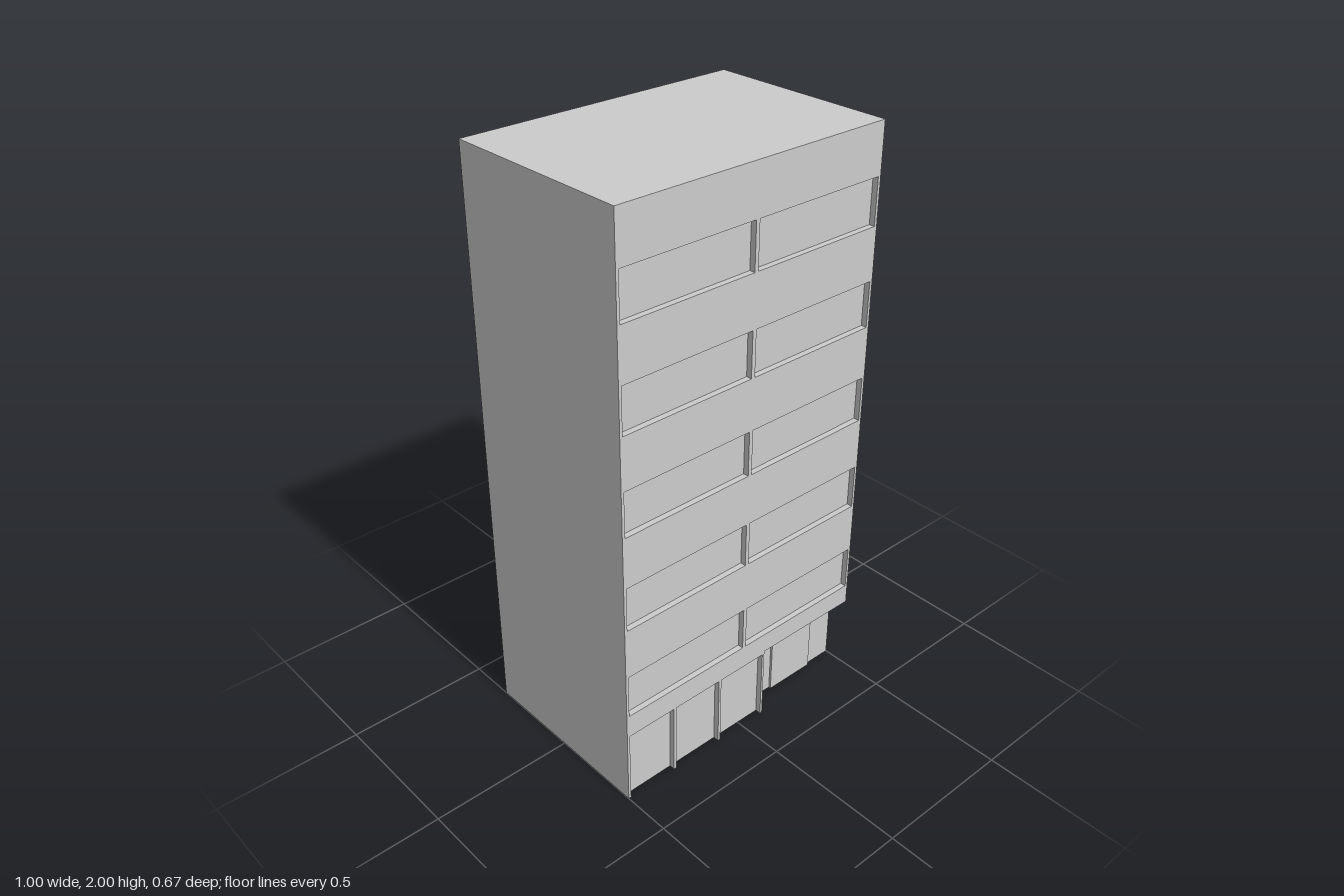
import * as THREE from 'three';

const W = 0.5, H = 2, FRONT = 0.333, RECESS = 0.02;
const ENTRY = { x: 0.097, top: 0.27, z: 0.26 };

const material = new THREE.MeshStandardMaterial({ color: 0xcccccc, flatShading: true });

function addMesh(group, name, geometry) {
  const mesh = new THREE.Mesh(geometry, material);
  mesh.name = name;
  group.add(mesh);
}

function addBox(group, name, x0, x1, y0, y1, z0, z1) {
  const geometry = new THREE.BoxGeometry(x1 - x0, y1 - y0, z1 - z0);
  geometry.translate((x0 + x1) / 2, (y0 + y1) / 2, (z0 + z1) / 2);
  addMesh(group, name, geometry);
}

// Front outline with the corner entrance cut out; bays are open at the ground
function frontShape(bays = []) {
  const points = [[-W, 0]];
  for (const [a, b] of bays) points.push([a, 0], [a, 0.26], [b, 0.26], [b, 0]);
  points.push([ENTRY.x, 0], [ENTRY.x, ENTRY.top], [W, ENTRY.top], [W, H], [-W, H]);
  return new THREE.Shape(points.map(([x, y]) => new THREE.Vector2(x, y)));
}

function extrudeBetween(shape, z0, z1) {
  const geometry = new THREE.ExtrudeGeometry(shape, { depth: z1 - z0, bevelEnabled: false });
  return geometry.translate(0, 0, z0);
}

export function createModel() {
  const group = new THREE.Group();
  group.name = 'officeBlock';

  // Main volume, up to the back wall of the entrance
  addBox(group, 'core', -W, W, 0, H, -FRONT, ENTRY.z);

  // Layer carrying the window panes and shop fronts
  addMesh(group, 'glazing', extrudeBetween(frontShape(), ENTRY.z, FRONT - RECESS));

  // Facade with two strip windows on each of five floors and three shop bays
  const facade = frontShape([[-0.49, -0.307], [-0.297, -0.11], [-0.1, 0.088]]);
  for (let floor = 0; floor < 5; floor++) {
    const y0 = 0.343 + floor / 3, y1 = y0 + 0.155;
    for (const x0 of [-0.49, 0.007]) {
      const x1 = x0 + 0.483;
      facade.holes.push(new THREE.Path([
        new THREE.Vector2(x0, y0), new THREE.Vector2(x0, y1),
        new THREE.Vector2(x1, y1), new THREE.Vector2(x1, y0),
      ]));
    }
  }
  addMesh(group, 'facade', extrudeBetween(facade, FRONT - RECESS, FRONT));

  // Shallow door panel on the entrance wall
  addBox(group, 'entranceDoor', 0.205, 0.395, 0, ENTRY.top, ENTRY.z, ENTRY.z + 0.008);

  return group;
}
